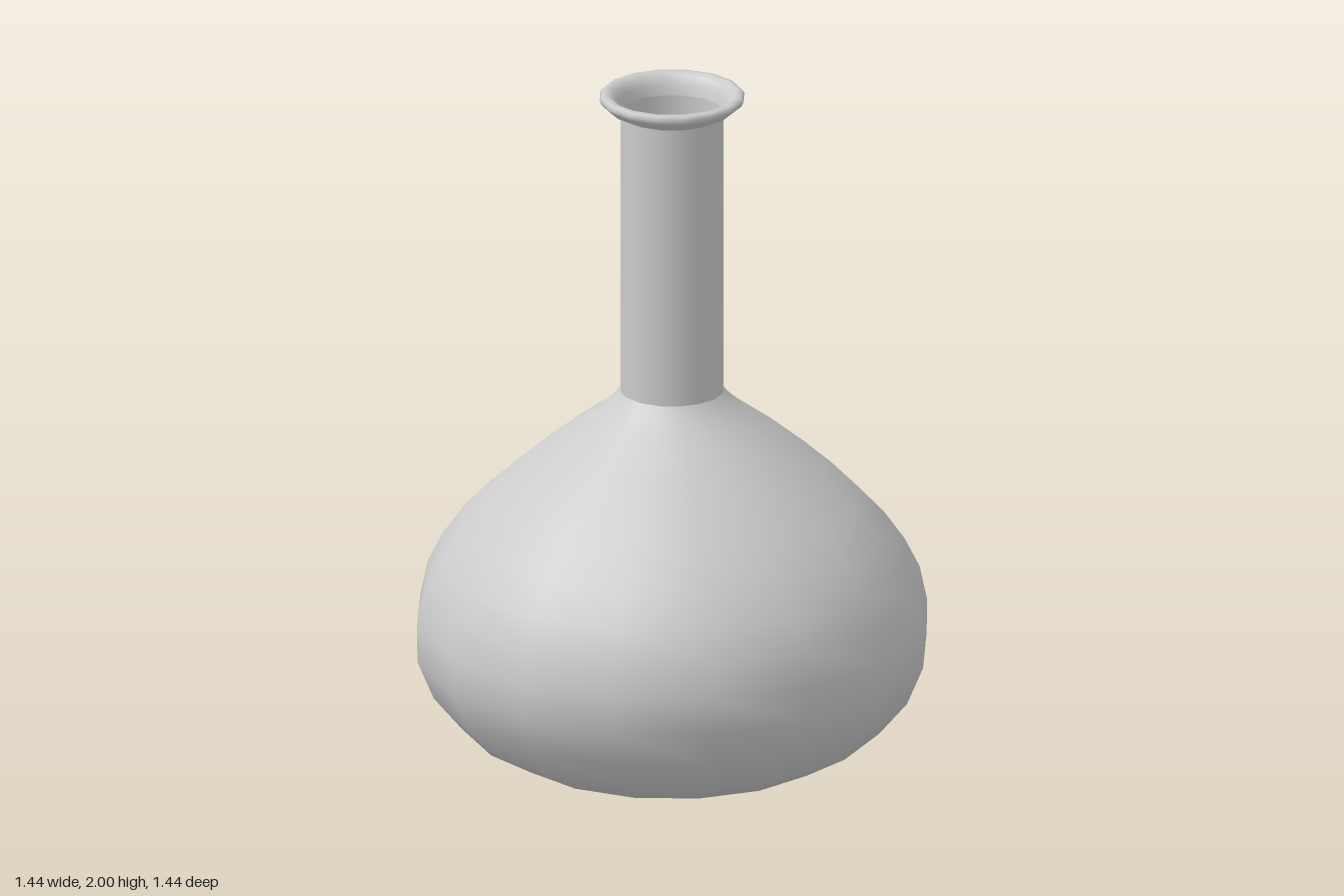
import * as THREE from 'three';

const SIDES = 16;

// Revolves a [radius, height] profile into a named part
function turned(name, profile, material) {
  const points = profile.map(([r, y]) => new THREE.Vector2(r, y));
  const mesh = new THREE.Mesh(new THREE.LatheGeometry(points, SIDES), material);
  mesh.name = name;
  return mesh;
}

export function createModel() {
  const model = new THREE.Group();
  model.name = 'flask';
  // Thin open shell, seen from both sides
  const glass = new THREE.MeshStandardMaterial({ color: 0xcccccc, side: THREE.DoubleSide });

  // Squat bulb with a slightly pointed base
  model.add(turned('body', [
    [0, 0.005], [0.27, 0.03], [0.46, 0.08], [0.59, 0.155], [0.67, 0.25],
    [0.716, 0.36], [0.718, 0.46], [0.697, 0.56], [0.655, 0.645], [0.595, 0.73],
    [0.52, 0.81], [0.43, 0.89], [0.32, 0.98], [0.21, 1.06], [0.165, 1.1], [0.145, 1.125],
  ], glass));

  // Straight neck
  model.add(turned('neck', [[0.145, 1.125], [0.145, 1.94]], glass));

  // Flared lip rolled back in towards the opening
  model.add(turned('lip', [
    [0.145, 1.94], [0.175, 1.955], [0.198, 1.975], [0.204, 1.988],
    [0.197, 1.998], [0.182, 2], [0.165, 1.99], [0.152, 1.97], [0.145, 1.94],
  ], glass));

  return model;
}
